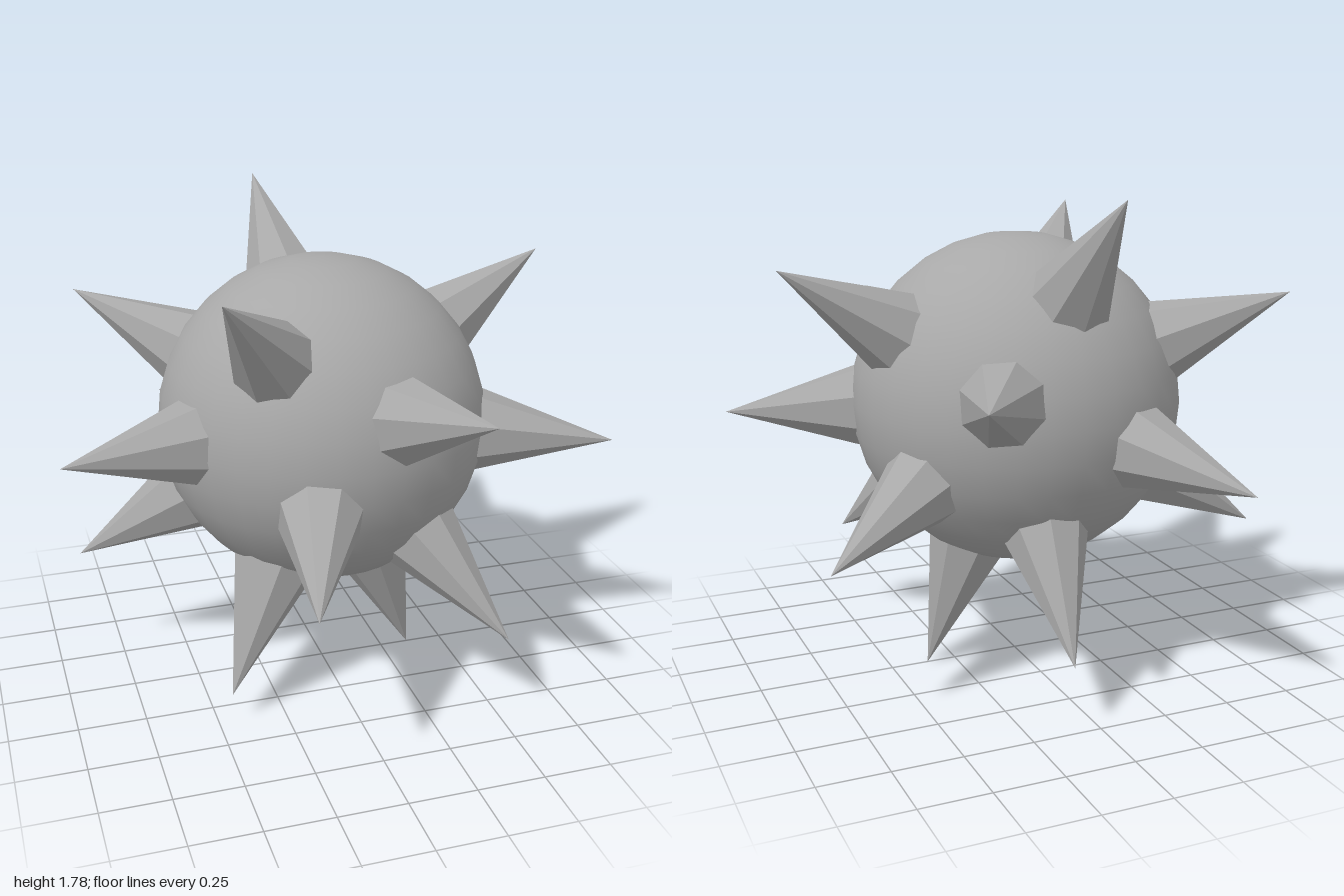
import * as THREE from 'three';

export function createModel() {
  const group = new THREE.Group();
  const grey = new THREE.MeshStandardMaterial({ color: 0xa8a8a8 });
  grey.name = 'grey';
  const center = new THREE.Vector3(0.005, 1.02, -0.02);

  // Smooth round core
  const core = new THREE.Mesh(new THREE.SphereGeometry(0.605, 32, 16), grey);
  core.name = 'core';
  core.position.copy(center);
  group.add(core);

  // Spike tip positions
  const tips = [
    [-0.51, 1.67, 0.65], [-0.06, 1.79, -0.755], [0.92, 1.55, -0.18], [-0.82, 1.43, -0.55],
    [-1.0, 1.075, 0.345], [1.0, 0.96, 0.385], [0.86, 0.6, -0.505], [-0.9, 0.48, -0.22],
    [-0.45, 0.125, 0.37], [0.49, 0.365, 0.675], [0.1, 0.245, -0.75], [0.36, 0.005, 0],
    [0.27, 1.31, 0.975], [-0.3, 0.72, 0.965], [-0.44, 0.84, -0.975], [0.49, 1.2, -0.955],
  ];

  // Eight-sided cone, its tip at the local origin and its base sunk in the core
  const length = 0.53;
  const cone = new THREE.ConeGeometry(0.163, length, 8);
  cone.translate(0, -length / 2, 0);
  const spikeGeometry = cone.toNonIndexed();
  spikeGeometry.computeVertexNormals(); // faceted sides

  const up = new THREE.Vector3(0, 1, 0);
  tips.forEach((p, i) => {
    const tip = new THREE.Vector3(...p);
    const spike = new THREE.Mesh(spikeGeometry, grey);
    spike.name = `spike${i + 1}`;
    spike.quaternion.setFromUnitVectors(up, tip.clone().sub(center).normalize());
    spike.position.copy(tip);
    group.add(spike);
  });

  return group;
}
